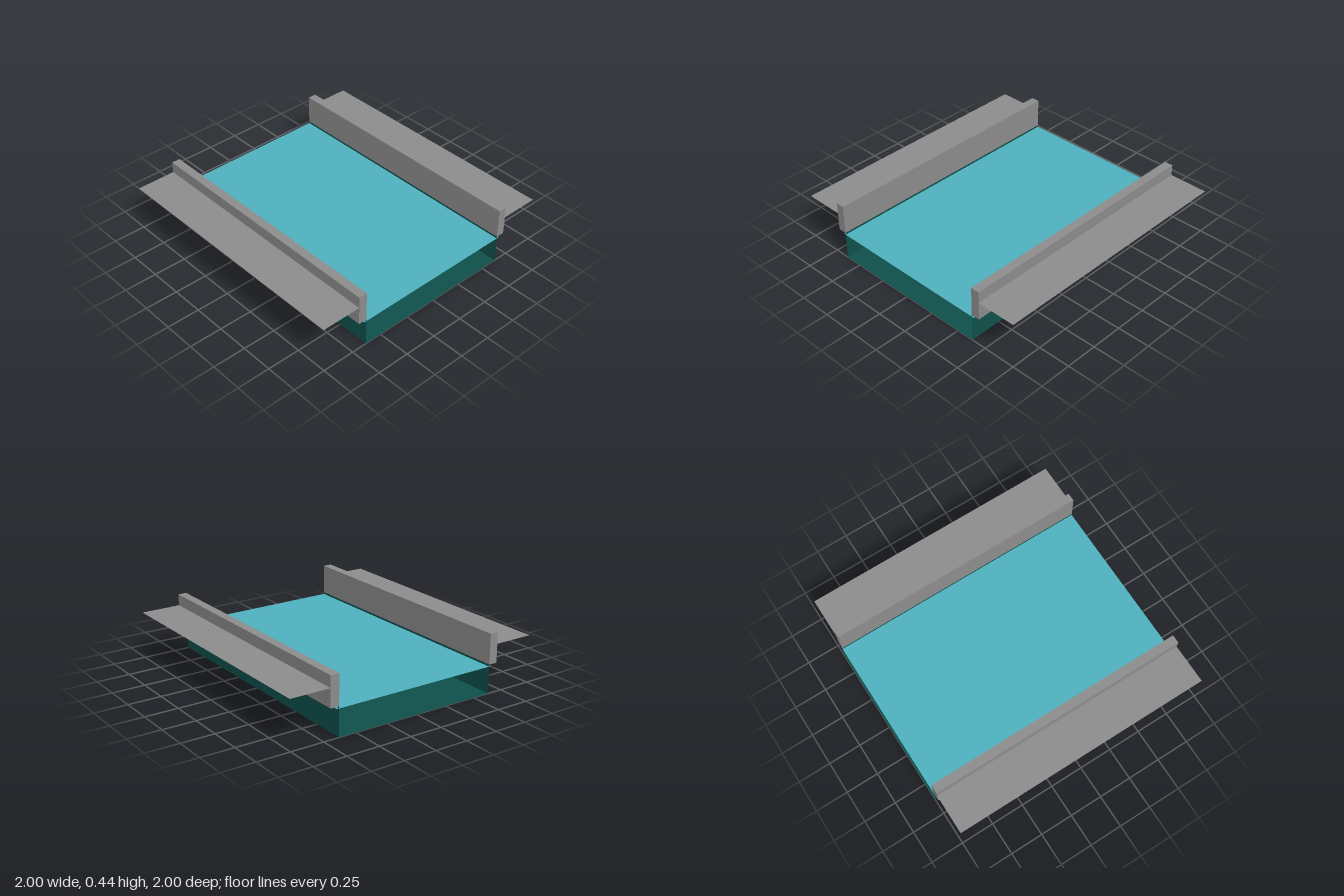
import * as THREE from 'three';

// Canal section: open-ended trough, water sheet, kerb walls and side banks
export function createModel() {
  const group = new THREE.Group();
  const stone = new THREE.MeshStandardMaterial({ color: 0x8c8c8c, side: THREE.DoubleSide });
  const water = new THREE.MeshStandardMaterial({ color: 0x4fb0bf, side: THREE.DoubleSide });
  const trough = new THREE.MeshStandardMaterial({ color: 0x0f504b, side: THREE.DoubleSide });
  stone.name = 'grey stone';
  water.name = 'blue water';
  trough.name = 'dark teal';

  const length = 2, inner = 0.632, outer = 0.697, wallBase = 0.215, wallTop = 0.44;

  const add = (name, geometry, material, x, y) => {
    const mesh = new THREE.Mesh(geometry, material);
    mesh.name = name;
    mesh.position.set(x, y, 0);
    group.add(mesh);
  };
  const sheet = (width) => new THREE.PlaneGeometry(width, length).rotateX(-Math.PI / 2);

  // Trough floor and water surface
  add('troughFloor', sheet(inner * 2), trough, 0, 0);
  add('waterSurface', sheet(0.65 * 2), water, 0, 0.2);

  for (const [side, s] of [['left', 1], ['right', -1]]) {
    // Thin trough side, facing outward
    const panel = new THREE.PlaneGeometry(length, wallBase).rotateY(s * Math.PI / 2);
    add(side + 'TroughSide', panel, trough, s * inner, wallBase / 2);
    // Kerb wall above the trough side
    const kerb = new THREE.BoxGeometry(outer - inner, wallTop - wallBase, length);
    add(side + 'KerbWall', kerb, stone, s * (inner + outer) / 2, (wallBase + wallTop) / 2);
    // Flat bank outside the kerb
    add(side + 'Bank', sheet(1 - outer), stone, s * (1 + outer) / 2, 0.354);
  }
  return group;
}
